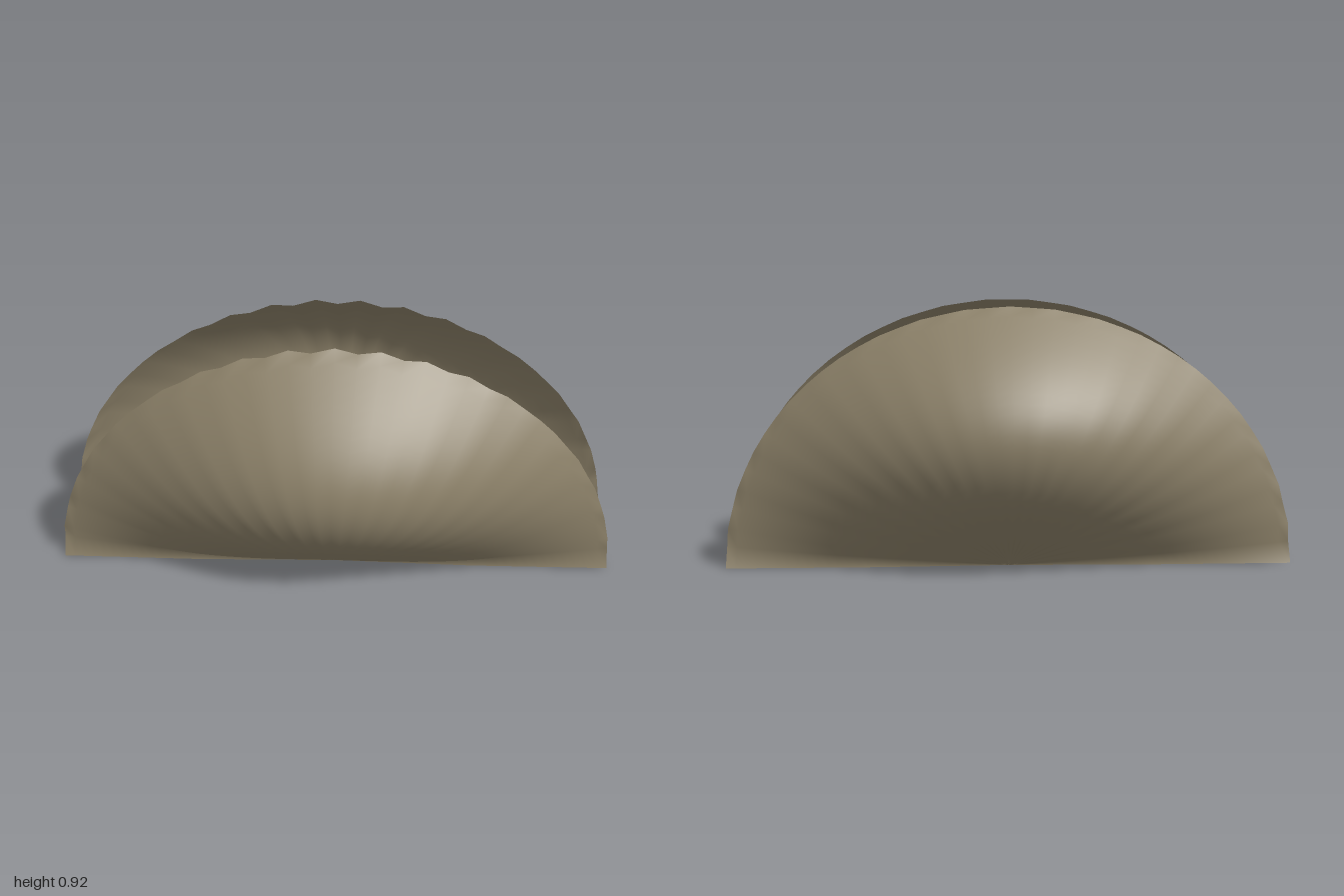
import * as THREE from 'three';

const RIBS = 40;   // angular steps, so neighbouring steps alternate ridge and groove
const RINGS = 28;  // steps from hinge to rim

// Fan-shaped, bulging half shell: t runs from hinge centre to rim, angle from +x over to -x
function shellGeometry() {
  const positions = [], index = [];
  for (let j = 0; j <= RINGS; j++) {
    const t = j / RINGS;
    for (let i = 0; i <= RIBS; i++) {
      const a = (Math.PI * i) / RIBS;
      const bulge = 0.34 * Math.sin(Math.PI * Math.pow(t, 1.05)) * Math.sin(a);
      const ripple = 0.015 * Math.min(1, t * 2) * Math.cos(38 * a);
      positions.push(t * Math.cos(a), 0.915 * t * Math.sin(a), 0.165 - 0.006 * t + bulge + ripple);
      if (j < RINGS && i < RIBS) {
        const p = j * (RIBS + 1) + i, q = p + RIBS + 1;
        index.push(q, q + 1, p + 1);
        if (j > 0) index.push(p, q, p + 1);
      }
    }
  }
  const geometry = new THREE.BufferGeometry();
  geometry.setAttribute('position', new THREE.Float32BufferAttribute(positions, 3));
  geometry.setIndex(index);
  geometry.computeVertexNormals();
  return geometry;
}

export function createModel() {
  const group = new THREE.Group();
  group.name = 'openShell';
  const material = new THREE.MeshStandardMaterial({ color: 0x8b8068, side: THREE.DoubleSide });
  const geometry = shellGeometry();

  // Two identical halves facing away from each other
  ['frontShell', 'backShell'].forEach((name, k) => {
    const shell = new THREE.Mesh(geometry, material);
    shell.name = name;
    shell.rotation.y = k * Math.PI;
    group.add(shell);
  });
  return group;
}
